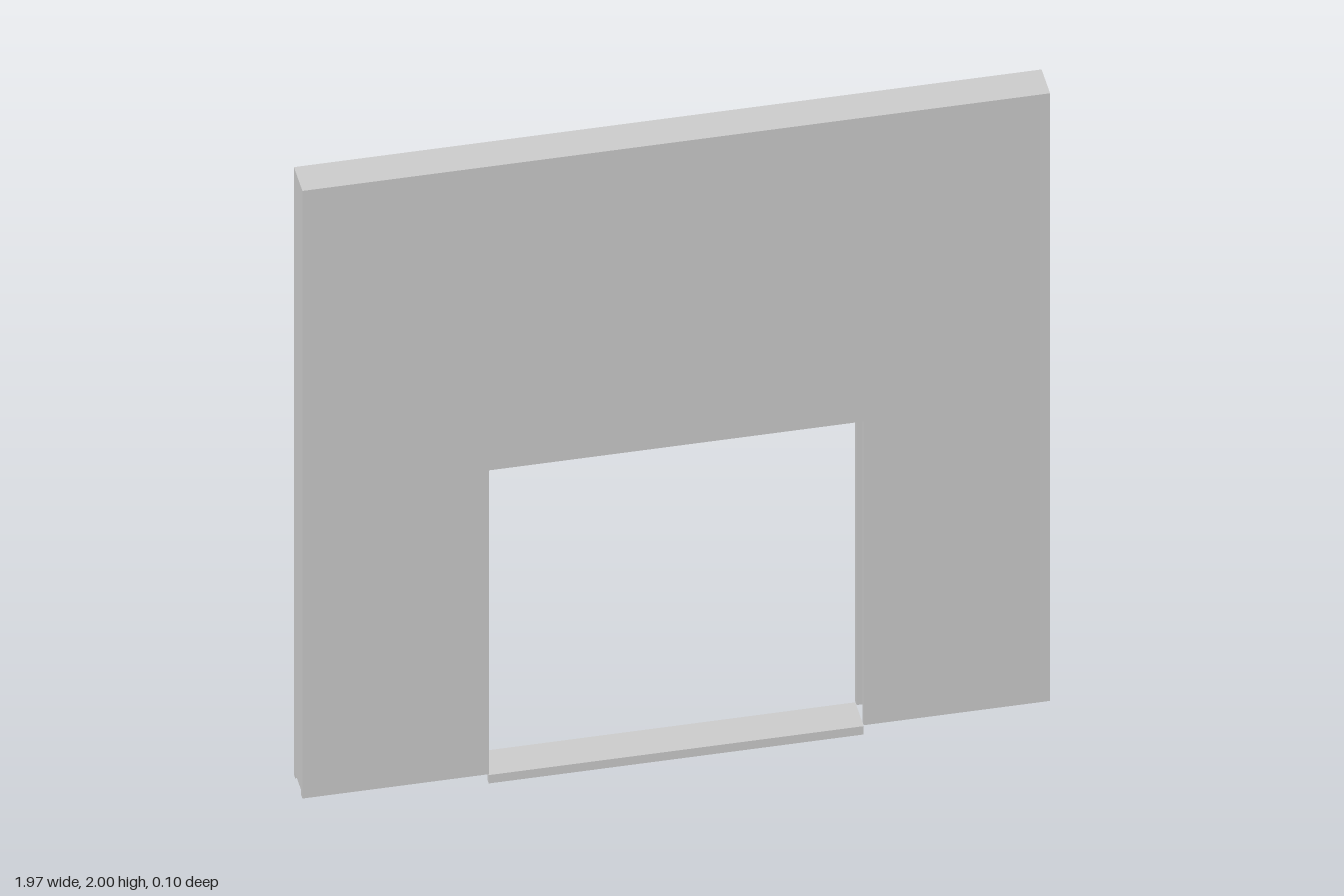
import * as THREE from 'three';

const W = 0.987, TOP = 2, BASE = 0.03;      // wall outline
const DOOR = 0.495, LINTEL = 1.015;         // opening
const DEPTH = 0.104, SKIN = 0.016, GROOVE = 0.016;

export function createModel() {
  const group = new THREE.Group();
  const material = new THREE.MeshStandardMaterial({ color: 0xcccccc, flatShading: true });

  const add = (name, geometry, x = 0, y = 0, z = 0) => {
    const mesh = new THREE.Mesh(geometry, material);
    mesh.name = name;
    mesh.position.set(x, y, z);
    group.add(mesh);
  };

  // Wall outline with a doorway, its bottom and jambs set back by inset
  const wallLayer = (inset, depth) => {
    const d = DOOR + inset, b = BASE + inset;
    const shape = new THREE.Shape([
      [-W, b], [-d, b], [-d, LINTEL], [d, LINTEL],
      [d, b], [W, b], [W, TOP], [-W, TOP],
    ].map(([x, y]) => new THREE.Vector2(x, y)));
    return new THREE.ExtrudeGeometry(shape, { depth, bevelEnabled: false });
  };

  // Two skins over a recessed core leave a groove along the feet and jambs
  add('frontSkin', wallLayer(0, SKIN), 0, 0, DEPTH / 2 - SKIN);
  add('backSkin', wallLayer(0, SKIN), 0, 0, -DEPTH / 2);
  add('wallCore', wallLayer(GROOVE, DEPTH - 2 * SKIN), 0, 0, -DEPTH / 2 + SKIN);

  // Threshold: a shallow channel open underneath
  const sillHeight = 0.027, plate = 0.011, lip = sillHeight - plate;
  add('sillPlate', new THREE.BoxGeometry(2 * DOOR, plate, DEPTH), 0, sillHeight - plate / 2, 0);
  for (const side of [1, -1]) {
    add(side > 0 ? 'sillFrontLip' : 'sillBackLip',
      new THREE.BoxGeometry(2 * DOOR, lip, SKIN), 0, lip / 2, side * (DEPTH - SKIN) / 2);
  }

  return group;
}
